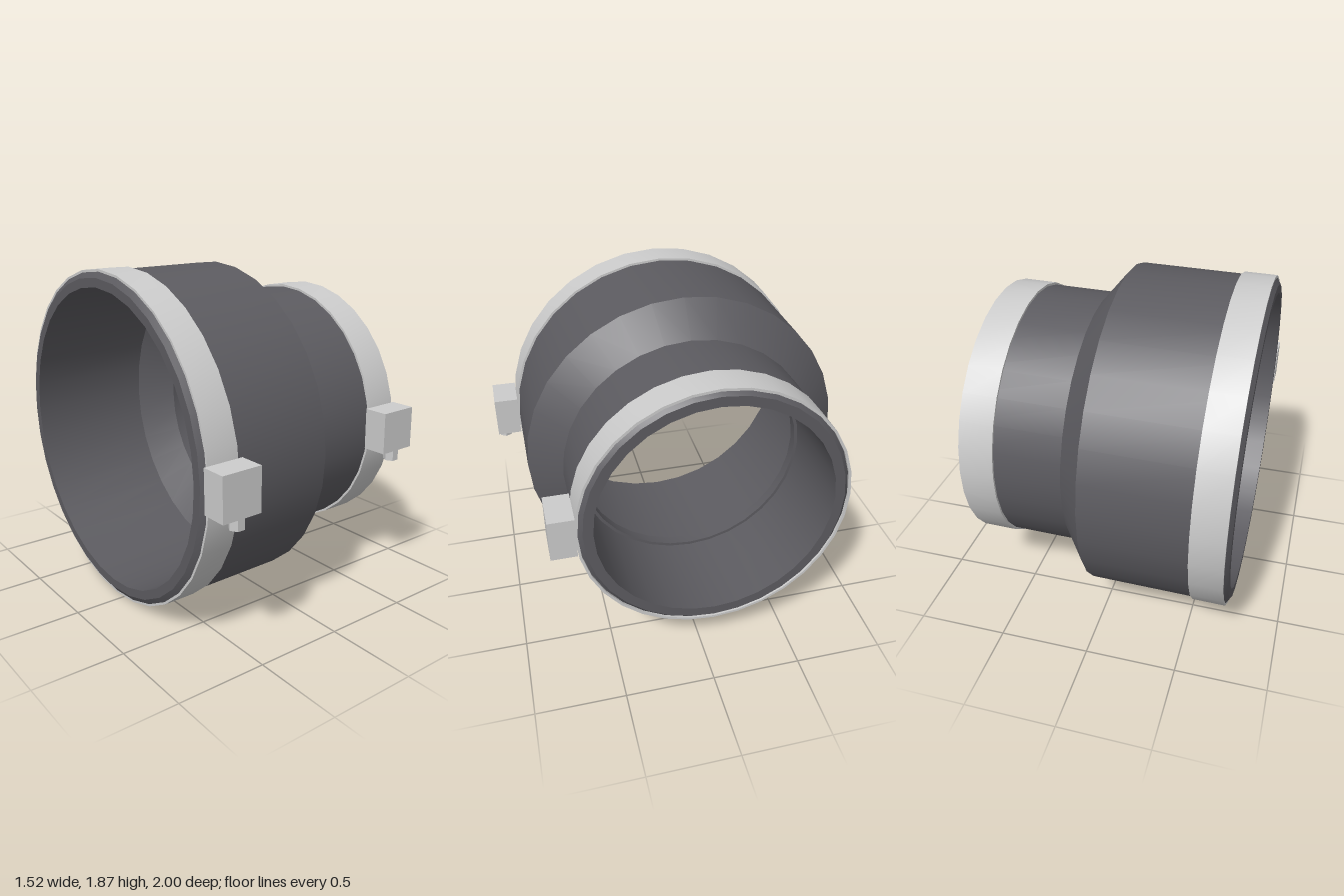
import * as THREE from 'three';
import { toCreasedNormals } from 'three/addons/utils/BufferGeometryUtils.js';

const rubber = new THREE.MeshStandardMaterial({ color: 0x5c5b60 });
const steel = new THREE.MeshStandardMaterial({ color: 0xcccccc });

// Closed [x, radius] profile turned around the x axis, with sharp profile edges
function turned(name, profile, material) {
  const points = [...profile, profile[0]].map(([x, r]) => new THREE.Vector2(r, x));
  const geometry = new THREE.LatheGeometry(points, 32).rotateZ(-Math.PI / 2);
  const mesh = new THREE.Mesh(toCreasedNormals(geometry, 0.45), material);
  mesh.name = name;
  return mesh;
}

// Band clamp: thin strap, screw housing and hexagonal screw head
function clamp(name, x0, x1, radius, housingX) {
  const group = new THREE.Group();
  group.name = name;
  group.add(turned('strap', [
    [x0, radius], [x1, radius], [x1, radius - 0.014], [x0, radius - 0.014],
  ], steel));

  const housing = new THREE.Mesh(new THREE.BoxGeometry(0.225, 0.235, 0.14), steel);
  housing.name = 'screwHousing';
  housing.position.set(housingX, 0, radius + 0.063);

  const head = new THREE.Mesh(
    toCreasedNormals(new THREE.CylinderGeometry(0.042, 0.042, 0.08, 6).rotateY(Math.PI / 6), 0.45),
    steel);
  head.name = 'screwHead';
  head.position.set(housingX, -0.14, radius + 0.088);

  group.add(housing, head);
  return group;
}

export function createModel() {
  const model = new THREE.Group();
  model.name = 'reducingCoupling';

  // The whole fitting leans by one degree
  const fitting = new THREE.Group();
  fitting.name = 'fitting';
  fitting.position.set(0, 0.953, -0.067);
  fitting.rotation.z = THREE.MathUtils.degToRad(1);
  model.add(fitting);

  // Hollow stepped sleeve: outside left to right, then the bore back again
  fitting.add(turned('sleeve', [
    [-0.745, 0.89], [-0.725, 0.92], [0.03, 0.92], [0.175, 0.735],
    [0.72, 0.735], [0.745, 0.71],
    [0.745, 0.655], [0.19, 0.655], [0.19, 0.637], [0.13, 0.637],
    [-0.02, 0.84], [-0.745, 0.84],
  ], rubber));

  fitting.add(
    clamp('largeClamp', -0.725, -0.545, 0.933, -0.635),
    clamp('smallClamp', 0.545, 0.735, 0.748, 0.635));
  return model;
}
